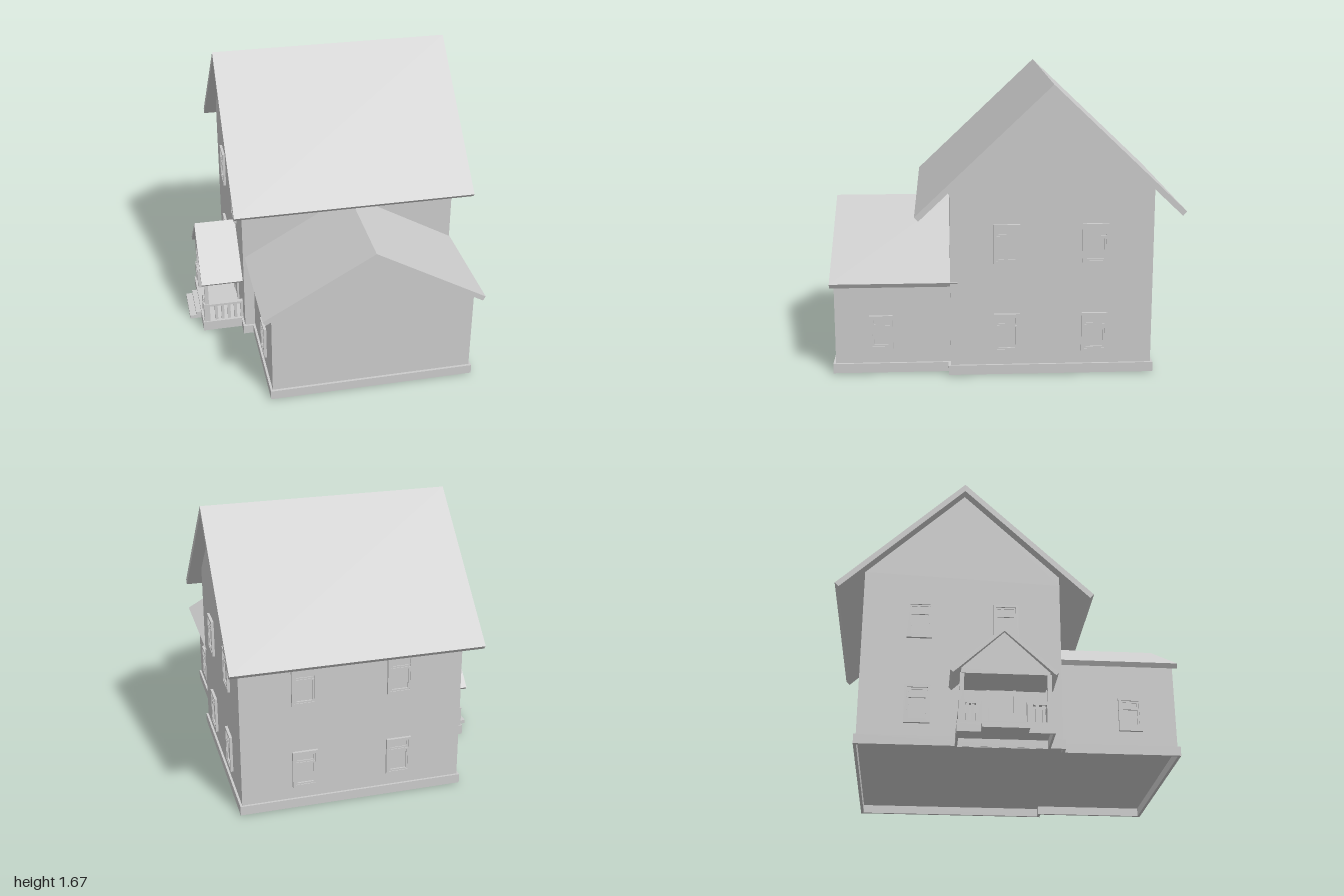
import * as THREE from 'three';

const mat = new THREE.MeshStandardMaterial({ color: 0xcccccc, flatShading: true });

function add(parent, name, geo) {
  const mesh = new THREE.Mesh(geo, mat);
  mesh.name = name;
  parent.add(mesh);
  return mesh;
}

// Box given by its min and max on each axis
function box(parent, name, x0, x1, y0, y1, z0, z1) {
  const geo = new THREE.BoxGeometry(x1 - x0, y1 - y0, z1 - z0);
  geo.translate((x0 + x1) / 2, (y0 + y1) / 2, (z0 + z1) / 2);
  return add(parent, name, geo);
}

const shapeOf = (pts) => new THREE.Shape(pts.map(([x, y]) => new THREE.Vector2(x, y)));

// Profile extruded along z from a to b
function prismZ(shape, a, b) {
  const geo = new THREE.ExtrudeGeometry(shape, { depth: b - a, bevelEnabled: false });
  return geo.translate(0, 0, a);
}

// Profile drawn in (-z, y), extruded along x from a to b
const prismX = (shape, a, b) => prismZ(shape, a, b).rotateY(Math.PI / 2);

// Pitched roof section: two slabs meeting at a ridge, eaves cut square
function roofShape(left, ridge, right, t) {
  const foot = ([x, y]) => {
    const dx = ridge[0] - x, dy = ridge[1] - y, l = Math.hypot(dx, dy);
    return [x + (Math.sign(dx) * dy * t) / l, y - (Math.abs(dx) * t) / l];
  };
  const dx = ridge[0] - left[0], dy = ridge[1] - left[1];
  const drop = (t * Math.hypot(dx, dy)) / dx;
  return shapeOf([left, foot(left), [ridge[0], ridge[1] - drop], foot(right), right, ridge]);
}

const rect = (x0, x1, y0, y1) => [[x0, y0], [x1, y0], [x1, y1], [x0, y1]];

function ring(outer, inner) {
  const s = shapeOf(outer);
  s.holes.push(new THREE.Path(inner.map(([x, y]) => new THREE.Vector2(x, y))));
  return s;
}

// Open skirt from a plan outline in (x, -z)
function skirt(parent, name, outer, inner, y0, y1) {
  const geo = prismZ(ring(outer, inner), y0, y1).rotateX(-Math.PI / 2);
  return add(parent, name, geo);
}

// Sash window facing +z, its back on z = 0
function makeWindow(w, h) {
  const g = new THREE.Group();
  g.name = 'window';
  const x = w / 2, y = h / 2, b = 0.016;
  add(g, 'windowFrame', prismZ(ring(rect(-x, x, -y, y), rect(-x + b, x - b, -y + b, y - b)), -0.005, 0.016));
  const split = y - h * 0.3;
  const sash = (name, y0, y1, d) => add(g, name, prismZ(
    ring(rect(-x + b, x - b, y0, y1), rect(-x + b + 0.01, x - b - 0.01, y0 + 0.01, y1 - 0.01)), -0.005, d));
  sash('upperSash', split, y - b, 0.008);
  sash('lowerSash', -y + b, split, 0.012);
  box(g, 'windowPane', -x + b, x - b, -y + b, y - b, -0.005, 0.003);
  return g;
}

function placeWindow(parent, w, h, x, y, z, turn) {
  const win = makeWindow(w, h);
  win.position.set(x, y, z);
  win.rotation.y = turn;
  parent.add(win);
}

function makePorch() {
  const g = new THREE.Group();
  g.name = 'porch';
  const mid = -0.02;

  // Platform and steps
  box(g, 'porchFloor', -0.785, -0.53, 0.05, 0.063, -0.285, 0.245);
  skirt(g, 'porchSkirt', rect(-0.785, -0.53, -0.245, 0.285), rect(-0.772, -0.54, -0.232, 0.272), 0, 0.05);
  box(g, 'lowerStep', -0.857, -0.785, 0, 0.023, -0.155, 0.1);
  box(g, 'upperStep', -0.817, -0.785, 0.023, 0.045, -0.155, 0.1);

  // Roof and gable
  add(g, 'porchRoof', prismX(roofShape([-0.27, 0.357], [0.028, 0.63], [0.325, 0.357], 0.022), -0.785, -0.525));
  add(g, 'porchGable', prismX(shapeOf([[-0.225, 0.345], [0.265, 0.345], [0.265, 0.375], [0.028, 0.598], [-0.225, 0.36]]), -0.77, -0.53));

  const baluster = (x, z) => box(g, 'baluster', x - 0.009, x + 0.009, 0.06, 0.175, z - 0.009, z + 0.009);
  for (const s of [-1, 1]) {
    const z = mid + s * 0.24;
    // Corner post, its pedestal and the newel beside the steps
    box(g, 'porchPost', -0.768, -0.744, 0.06, 0.35, z - 0.012, z + 0.012);
    box(g, 'postPedestal', -0.776, -0.74, 0.06, 0.188, z - 0.018, z + 0.018);
    const zn = -0.028 + s * 0.138;
    box(g, 'newel', -0.774, -0.742, 0.06, 0.188, zn - 0.016, zn + 0.016);
    // Side railing
    box(g, 'sideRail', -0.745, -0.53, 0.168, 0.182, z - 0.014, z + 0.014);
    for (let i = 0; i < 5; i++) baluster(-0.699 + i * 0.0405, z);
    // Railing beside the steps
    box(g, 'frontRail', -0.772, -0.744, 0.168, 0.182, Math.min(z, zn), Math.max(z, zn));
    for (const k of [0.36, 0.68]) baluster(-0.758, zn + (z - zn) * k);
  }

  // Entrance door
  box(g, 'door', -0.536, -0.53, 0.06, 0.35, -0.095, 0.04);
  add(g, 'doorFrame', prismX(ring(rect(-0.055, 0.11, 0.06, 0.365), rect(-0.04, 0.095, 0.065, 0.35)), -0.542, -0.53));
  return g;
}

export function createModel() {
  const model = new THREE.Group();
  model.name = 'house';

  // Foundation skirt around house and garage
  const plan = (d) => [
    [-0.53 - d, 0.83 + d], [-0.53 - d, -0.32 - d], [-0.468 - d, -0.32 - d], [-0.468 - d, -0.982 - d],
    [0.716 + d, -0.982 - d], [0.716 + d, -0.32 - d], [0.776 + d, -0.32 - d], [0.776 + d, 0.83 + d],
  ];
  skirt(model, 'foundation', plan(0.013), plan(-0.004), 0.004, 0.06);

  // Main house
  box(model, 'houseWalls', -0.53, 0.776, 0.055, 1.035, -0.83, 0.32);
  add(model, 'houseGable', prismX(
    shapeOf([[-0.32, 1.035], [0.83, 1.035], [0.83, 1.08], [0.25, 1.63], [-0.32, 1.09]]), -0.53, 0.776));
  add(model, 'houseRoof', prismX(roofShape([-0.515, 0.95], [0.25, 1.675], [0.998, 0.965], 0.033), -0.598, 0.85));

  // Garage wing
  box(model, 'garageWalls', -0.468, 0.716, 0.055, 0.553, 0.32, 0.98);
  add(model, 'garageGable', prismZ(shapeOf([[-0.468, 0.553], [0.716, 0.553], [0.124, 0.889]]), 0.32, 0.98));
  add(model, 'garageRoof', prismZ(roofShape([-0.519, 0.558], [0.124, 0.923], [0.78, 0.551], 0.03), 0.28, 1.0));

  // Windows
  const q = Math.PI / 2;
  for (const y of [0.25, 0.773]) {
    for (const z of [0, -0.5]) {
      placeWindow(model, 0.148, 0.228, 0.776, y, z, q);
      if (y > 0.5 || z < 0) placeWindow(model, 0.148, 0.228, -0.53, y, z, -q);
    }
    for (const x of [0.405, -0.155]) placeWindow(model, 0.148, 0.228, x, y, -0.83, Math.PI);
  }
  placeWindow(model, 0.134, 0.2, 0.716, 0.245, 0.717, q);
  placeWindow(model, 0.134, 0.2, -0.468, 0.245, 0.717, -q);

  model.add(makePorch());
  return model;
}
